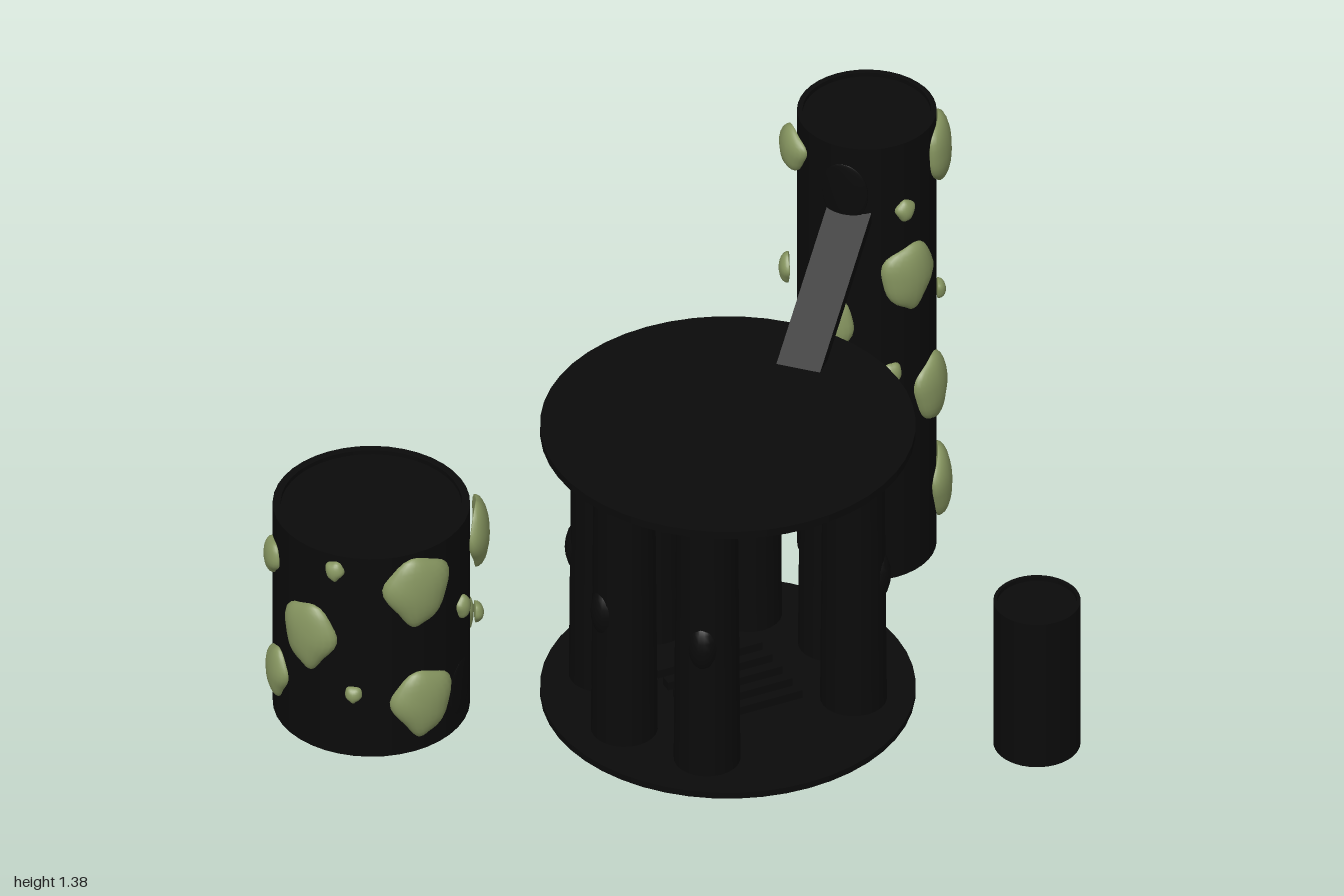
import * as THREE from 'three';

const dark = new THREE.MeshStandardMaterial({ color: 0x0a0a0a });
const green = new THREE.MeshStandardMaterial({ color: 0x85945f });
const rad = THREE.MathUtils.degToRad;

function add(parent, name, geometry, material, x = 0, y = 0, z = 0) {
  const mesh = new THREE.Mesh(geometry, material);
  mesh.name = name;
  mesh.position.set(x, y, z);
  parent.add(mesh);
  return mesh;
}

// Solid drum with a slightly sunken top inside a thin rim
function drum(r, h) {
  const rim = r * 0.92, sink = 0.012;
  const parts = [[0, 0], [r, 0], [r, 0], [r, h], [r, h], [rim, h], [rim, h], [rim, h - sink], [rim, h - sink], [0, h - sink]];
  return new THREE.LatheGeometry(parts.map(([x, y]) => new THREE.Vector2(x, y)), 40);
}

// Domed patch bent round an upright axis; angle 0 faces the front, positive turns to +x.
// taper narrows it downward into a rounded tip
function patch(R, angle, y, w, h, bulge, taper) {
  const g = new THREE.SphereGeometry(1, 24, 16);
  const p = g.attributes.position;
  for (let i = 0; i < p.count; i++) {
    const u = p.getX(i), v = p.getY(i), d = p.getZ(i);
    const narrow = 1 + taper * (0.3 * v - 0.15 * v * v);
    const wave = 1 + taper * 0.05 * Math.sin(5 * Math.atan2(v, u) + angle + 9 * y);
    const a = rad(angle) + (u * narrow * wave * w) / (2 * R);
    const r = R + (d > 0 ? bulge * d : bulge * 0.2 * d);
    p.setXYZ(i, r * Math.sin(a), y + (v * wave * h) / 2, r * Math.cos(a));
  }
  g.computeVertexNormals();
  return g;
}

function leaves(parent, x, z, R, list) {
  const group = new THREE.Group();
  group.name = 'leaves';
  group.position.set(x, 0, z);
  for (const [angle, y, w, h] of list) {
    add(group, 'leaf', patch(R, angle, y, w, h, 0.015 + w * 0.13, 1), green);
  }
  parent.add(group);
}

export function createModel() {
  const model = new THREE.Group();

  // Tall tower, wide tub and small post
  const tower = add(model, 'tower', drum(0.181, 1.365), dark, 0.8, 0, -0.475);
  const tub = add(model, 'tub', drum(0.256, 0.625), dark, -0.705, 0.06, -0.305);
  add(model, 'post', drum(0.113, 0.45), dark, 0.805, 0, 0.535);

  // Doorways
  add(tower, 'upperDoorway', patch(0.181, -45, 1.22, 0.13, 0.18, 0.004, 0), dark);
  add(tower, 'lowerDoorway', patch(0.181, -45, 0.11, 0.12, 0.16, 0.004, 0), dark);
  add(tub, 'tubDoorway', patch(0.256, 40, 0.12, 0.12, 0.16, 0.004, 0), dark);

  // Leaves: angle, height, width, length
  leaves(model, 0.782, -0.46, 0.195, [
    [12, 0.96, 0.16, 0.2], [8, 1.175, 0.055, 0.065], [40, 0.56, 0.15, 0.2], [-3, 0.67, 0.05, 0.07],
    [60, 1.27, 0.16, 0.2], [68, 0.2, 0.17, 0.21], [100, 1.04, 0.075, 0.1], [113, 0.745, 0.15, 0.18],
    [70, 0.8, 0.045, 0.06], [105, 0.37, 0.075, 0.09], [128, 0.125, 0.065, 0.1], [-55, 0.82, 0.15, 0.2],
    [-55, 0.35, 0.15, 0.2], [-94, 1.31, 0.13, 0.13], [-114, 0.885, 0.07, 0.09], [-105, 0.6, 0.06, 0.08],
    [-105, 0.28, 0.1, 0.12],
  ]);
  leaves(model, -0.705, -0.29, 0.265, [
    [0, 0.58, 0.18, 0.21], [3, 0.225, 0.17, 0.2], [34, 0.46, 0.05, 0.07], [-37, 0.27, 0.045, 0.05],
    [-48, 0.65, 0.05, 0.06], [62, 0.61, 0.16, 0.2], [-65, 0.42, 0.16, 0.2], [-103, 0.57, 0.09, 0.1],
    [-95, 0.23, 0.11, 0.15], [105, 0.47, 0.1, 0.1], [100, 0.25, 0.13, 0.16], [70, 0.33, 0.05, 0.06],
  ]);

  // Round pavilion: two discs joined by seven columns, open at the front
  const pavilion = new THREE.Group();
  pavilion.name = 'pavilion';
  pavilion.position.set(0.13, 0, 0.09);
  model.add(pavilion);
  add(pavilion, 'floor', new THREE.CylinderGeometry(0.487, 0.487, 0.018, 48), dark, 0, 0.095, 0);
  add(pavilion, 'roof', new THREE.CylinderGeometry(0.487, 0.487, 0.022, 48), dark, 0, 0.919, 0);
  for (let i = 0; i < 8; i++) {
    if (i === 2) continue;
    const a = rad(i * 45 - 10), x = 0.33 * Math.cos(a), z = 0.33 * Math.sin(a);
    add(pavilion, 'column', new THREE.CylinderGeometry(0.08, 0.087, 0.82, 24), dark, x, 0.505, z);
    const knot = add(pavilion, 'columnKnot', new THREE.SphereGeometry(1, 16, 10), dark, x * 1.17, 0.5, z * 1.17);
    knot.scale.set(0.042, 0.08, 0.042);
  }

  // Low slats on the pavilion floor
  for (let i = 0; i < 5; i++) {
    add(pavilion, 'floorSlat', new THREE.BoxGeometry(0.3, 0.025, 0.03), dark, 0, 0.115, -0.12 + i * 0.06);
  }

  // Plank rising from the roof to the tower
  const from = new THREE.Vector3(0.4, 0.91, -0.055), to = new THREE.Vector3(0.73, 1.18, -0.39);
  const plank = add(model, 'plank', new THREE.BoxGeometry(0.12, 0.03, from.distanceTo(to)), dark);
  plank.position.copy(from).lerp(to, 0.5);
  plank.lookAt(to);

  return model;
}
